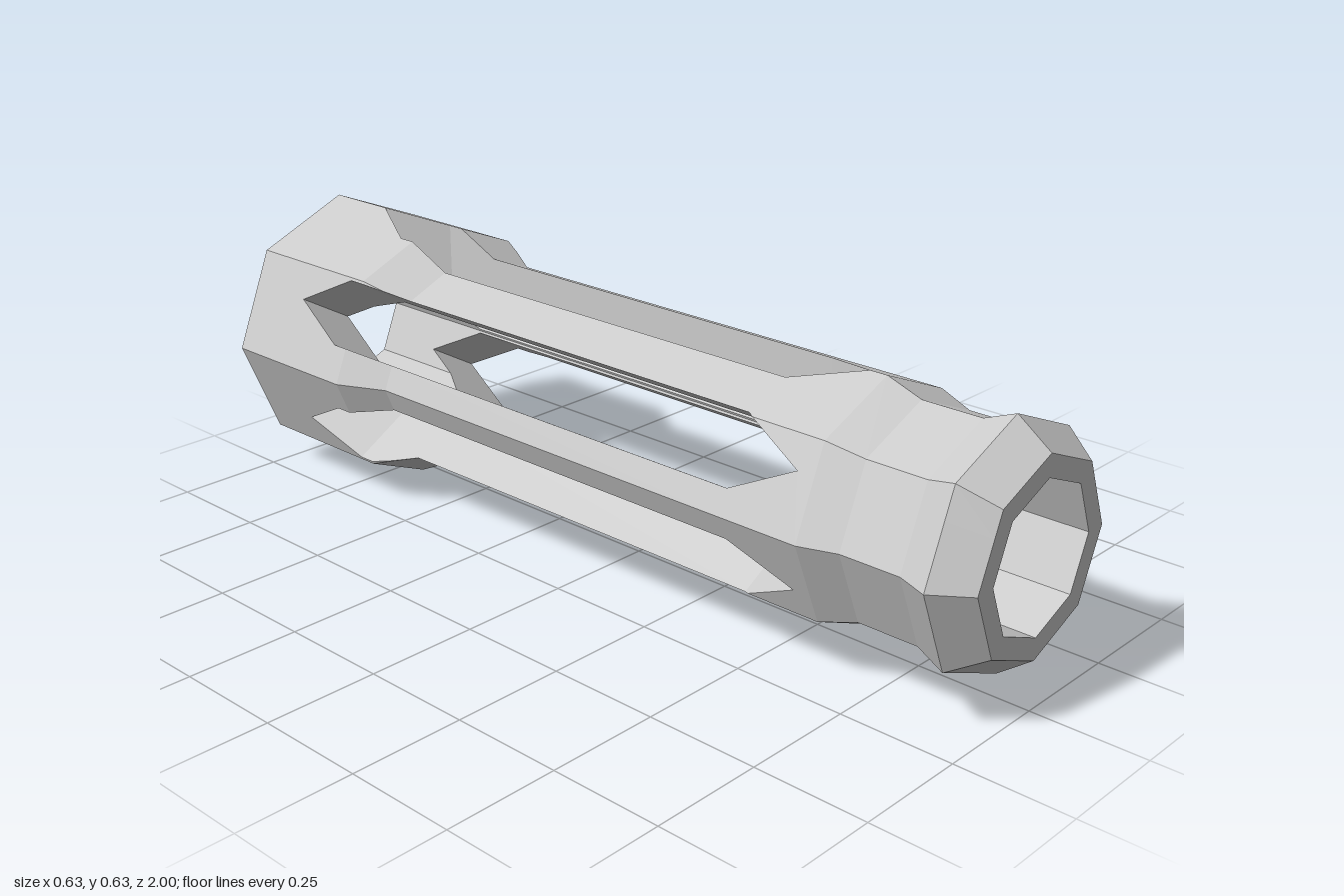
import * as THREE from 'three';

const RAD = Math.PI / 180;
const BORE = 0.16;            // corner radius of the octagonal bore
const CENTRE_Y = 0.314;

// [z, value] pairs from front to back
const OUTER = [[1, 0.208], [0.925, 0.263], [0.855, 0.235], [0.72, 0.235], [0.64, 0.263],
  [-0.53, 0.263], [-0.64, 0.314], [-1, 0.314]];
const SLOT = [[1, 0], [0.6, 0], [0.455, 0.0745], [-0.68, 0.0745], [-0.825, 0], [-1, 0]];
// extra stations where the slot walls sweep past an octagon corner
const EXTRA = [0.52, 0.467, -0.59, -0.744];

function sample(table, z) {
  for (let i = 1; i < table.length; i++) {
    const [z0, v0] = table[i - 1], [z1, v1] = table[i];
    if (z >= z1) return v0 + (v1 - v0) * (z - z0) / (z1 - z0);
  }
  return table[table.length - 1][1];
}

const dir = (deg) => new THREE.Vector2(Math.cos(deg * RAD), Math.sin(deg * RAD));

// Point where a slot wall (parallel to the slot's ray, shifted sideways) meets an octagon
function wallPoint(slotDeg, shift, radius) {
  const d = dir(slotDeg), p = dir(slotDeg + 90).multiplyScalar(shift);
  const apothem = radius * Math.cos(22.5 * RAD);
  let t = Infinity;
  for (let i = 0; i < 8; i++) {
    const n = dir(22.5 + 45 * i);
    if (n.dot(d) > 1e-6) t = Math.min(t, (apothem - n.dot(p)) / n.dot(d));
  }
  return p.addScaledVector(d, t);
}

// Edge of one bar along an octagon: wall, corner, wall
function barEdge(barDeg, cornerDeg, radius, w) {
  const a = wallPoint(barDeg - 30, w, radius);
  const b = wallPoint(barDeg + 30, -w, radius);
  let corner = dir(cornerDeg).multiplyScalar(radius);
  if (corner.dot(dir(barDeg + 60)) < w) corner = a;
  else if (corner.dot(dir(barDeg + 120)) > -w) corner = b;
  return [a, corner, b];
}

function slottedTubeGeometry() {
  const stations = [...new Set([...OUTER, ...SLOT].map((s) => s[0]).concat(EXTRA))].sort((a, b) => b - a);
  const positions = [];
  const tri = (a, b, c) => {
    const area = b.clone().sub(a).cross(c.clone().sub(a)).length();
    if (area > 1e-8) for (const v of [a, b, c]) positions.push(v.x, v.y, v.z);
  };
  const quad = (a, b, c, d) => { tri(a, b, c); tri(a, c, d); };

  // Six bars between six slots; each bar holds one octagon corner
  for (const [bar, corner] of [[0, 0], [60, 45], [120, 135], [180, 180], [240, 225], [300, 315]]) {
    const loops = stations.map((z) => {
      const w = sample(SLOT, z);
      const outer = barEdge(bar, corner, sample(OUTER, z), w);
      const inner = barEdge(bar, corner, BORE, w).reverse();
      return { w, pts: [...outer, ...inner].map((p) => new THREE.Vector3(p.x, p.y, z)) };
    });
    for (let i = 1; i < loops.length; i++) {
      const f = loops[i - 1], k = loops[i];
      for (let j = 0; j < 6; j++) {
        const isWall = j === 2 || j === 5;
        if (isWall && f.w < 1e-6 && k.w < 1e-6) continue; // solid collar, no slot wall
        const n = (j + 1) % 6;
        tri(f.pts[j], k.pts[j], f.pts[n]);
        tri(f.pts[n], k.pts[j], k.pts[n]);
      }
    }
    // End rings
    const F = loops[0].pts, K = loops[loops.length - 1].pts;
    quad(F[0], F[1], F[4], F[5]);
    quad(F[1], F[2], F[3], F[4]);
    quad(K[5], K[4], K[1], K[0]);
    quad(K[4], K[3], K[2], K[1]);
  }
  const geometry = new THREE.BufferGeometry();
  geometry.setAttribute('position', new THREE.Float32BufferAttribute(positions, 3));
  geometry.computeVertexNormals();
  return geometry;
}

export function createModel() {
  const group = new THREE.Group();
  group.name = 'slottedOctagonalTube';
  const material = new THREE.MeshStandardMaterial({ color: 0xcccccc, flatShading: true });
  const tube = new THREE.Mesh(slottedTubeGeometry(), material);
  tube.name = 'slottedTube';
  tube.position.y = CENTRE_Y;
  group.add(tube);
  return group;
}
